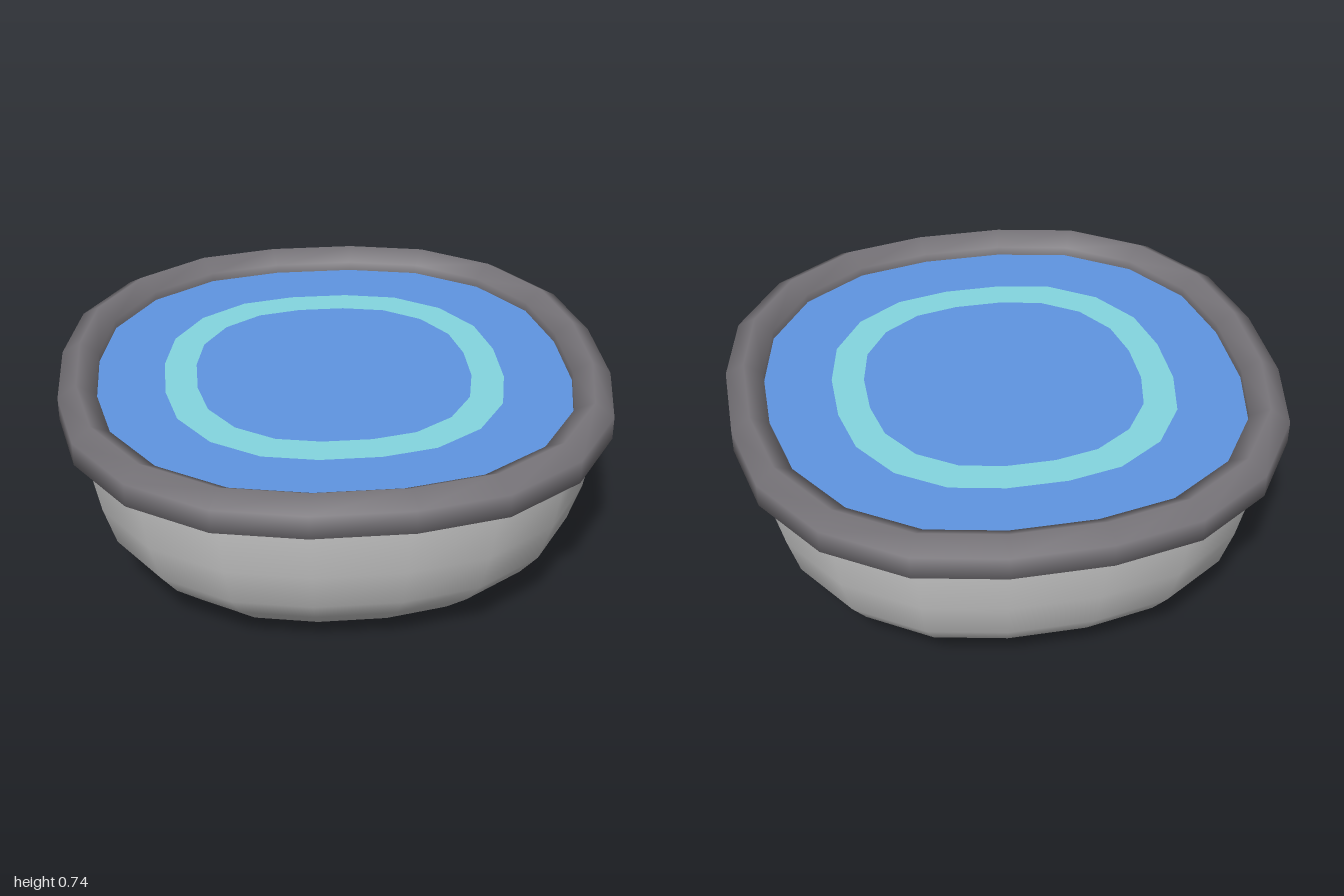
import * as THREE from 'three';

// Rounded-square outline: one quarter, turned four times (starts at +z, runs towards +x)
const quarter = [[0.174, 1], [0.487, 0.935], [0.757, 0.757], [0.935, 0.487], [1, 0.174]];
const outline = [];
let turn = quarter;
for (let q = 0; q < 4; q++) {
  outline.push(...turn);
  turn = turn.map(([x, z]) => [z, -x]);
}
const WIDTH = 0.98; // slightly narrower in x than in z

// Sweeps a profile of [scale, height] pairs round the outline, with smooth normals
function sweep(name, profile, color, closed = false) {
  const n = outline.length;
  const positions = [];
  const index = [];
  for (const [s, y] of profile) {
    for (const [x, z] of outline) positions.push(x * s * WIDTH, y, z * s);
  }
  const rows = closed ? profile.length : profile.length - 1;
  for (let i = 0; i < rows; i++) {
    const next = (i + 1) % profile.length;
    for (let j = 0; j < n; j++) {
      const k = (j + 1) % n;
      const a = i * n + j, b = i * n + k, c = next * n + k, d = next * n + j;
      index.push(a, b, c);
      if (profile[next][0] > 0) index.push(a, c, d);
    }
  }
  const geometry = new THREE.BufferGeometry();
  geometry.setAttribute('position', new THREE.Float32BufferAttribute(positions, 3));
  geometry.setIndex(index);
  geometry.computeVertexNormals();
  const material = new THREE.MeshStandardMaterial({ color, side: closed ? THREE.FrontSide : THREE.DoubleSide });
  const mesh = new THREE.Mesh(geometry, material);
  mesh.name = name;
  return mesh;
}

// Flat disc or ring lying on the outline
function flat(name, outer, inner, y, color) {
  const mesh = sweep(name, [[outer, y], [inner, y]], color);
  const normal = mesh.geometry.attributes.normal;
  for (let i = 0; i < normal.count; i++) normal.setXYZ(i, 0, 1, 0);
  return mesh;
}

export function createModel() {
  const group = new THREE.Group();
  group.name = 'waterBowl';

  // Thin bowl wall, open underneath
  group.add(sweep('bowl', [
    [0.5, 0], [0.7, 0.06], [0.805, 0.16], [0.87, 0.25], [0.915, 0.4], [0.945, 0.58], [0.945, 0.652],
  ], 0xcccccc));

  // Six-sided tube for the rim
  const rim = [];
  for (let i = 0; i < 6; i++) {
    const a = Math.PI / 6 + i * Math.PI / 3;
    rim.push([0.9325 + 0.078 * Math.cos(a), 0.652 + 0.084 * Math.sin(a)]);
  }
  group.add(sweep('rim', rim, 0x78757a, true));

  // Water surface with a pale ripple on top
  group.add(flat('water', 0.87, 0, 0.66, 0x5f95e2));
  group.add(flat('ripple', 0.62, 0.503, 0.664, 0x84d6e0));
  return group;
}
